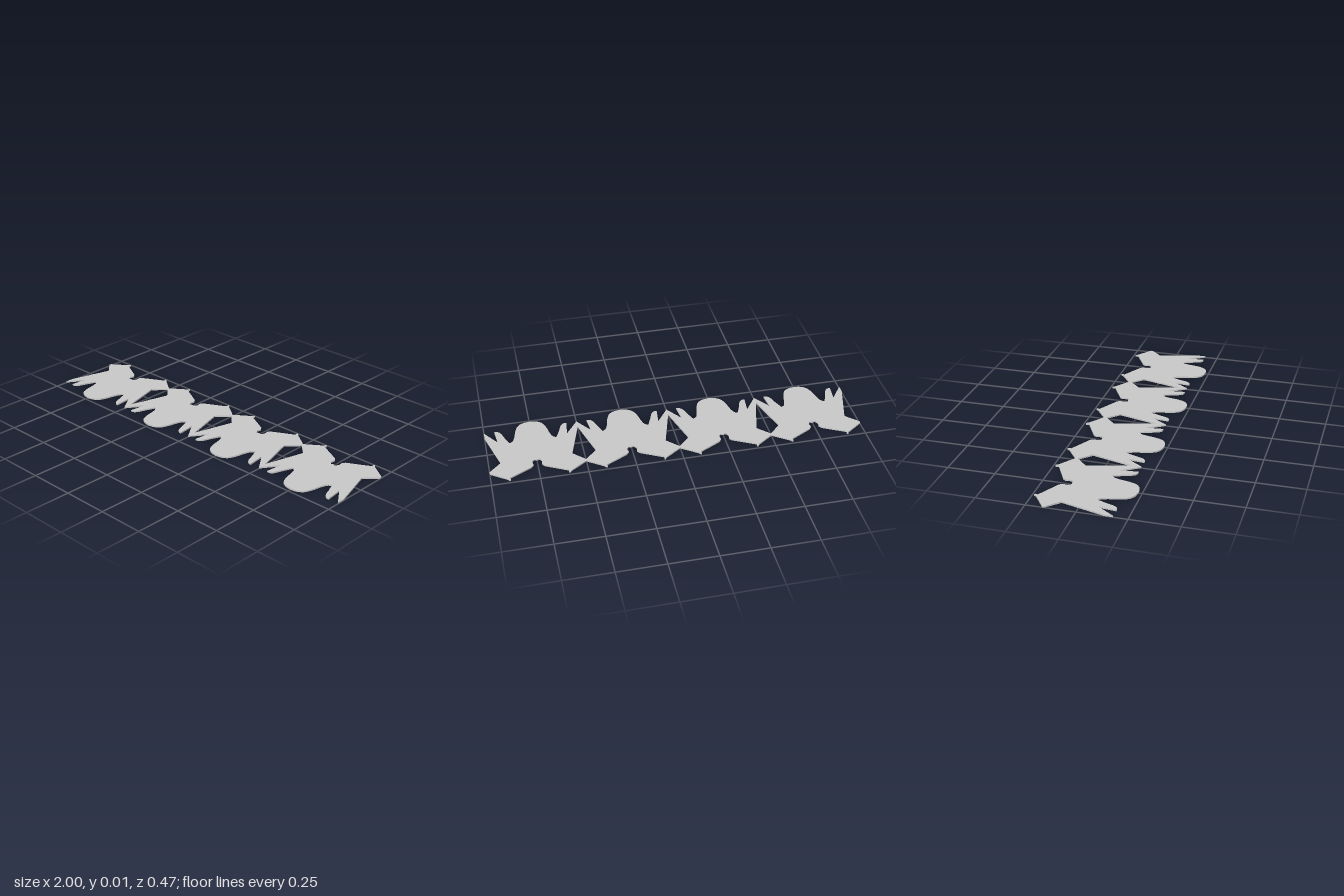
import * as THREE from 'three';

const THICKNESS = 0.008;
const PITCH = 0.5;

// Right half of one paper figure, from neck notch round to the rounded tail: [x, z]
const shoulderAndSide = [
  [0, -0.102], [0.014, -0.097], [0.026, -0.116], [0.022, -0.142], [0.034, -0.157],
  [0.152, -0.22], [0.149, -0.236], [0.157, -0.238], [0.164, -0.226],
  [0.25, -0.165], [0.25, -0.153], [0.187, -0.09],
  [0.25, 0.135], [0.25, 0.18], [0.185, 0.087], [0.195, 0.18],
];

function smoothPoints(points, count) {
  const curve = new THREE.CatmullRomCurve3(points.map(([x, z]) => new THREE.Vector3(x, z, 0)));
  return curve.getPoints(count).map(p => [p.x, p.y]);
}

// Rounded feather tip, then the edge up into the notch
const feather = smoothPoints([[0.195, 0.18], [0.178, 0.178], [0.163, 0.163], [0.145, 0.115], [0.125, 0.066]], 14);
// Notch, then the broad rounded tail
const tail = smoothPoints([[0.125, 0.066], [0.108, 0.077], [0.095, 0.11], [0.083, 0.165],
  [0.064, 0.208], [0.034, 0.228], [0, 0.234]], 24);

function figureGeometry() {
  const half = [...shoulderAndSide, ...feather.slice(1), ...tail.slice(1)];
  const mirrored = half.slice(1, -1).reverse().map(([x, z]) => [-x, z]);
  const shape = new THREE.Shape([...half, ...mirrored].map(([x, z]) => new THREE.Vector2(x, -z)));
  const geometry = new THREE.ExtrudeGeometry(shape, { depth: THICKNESS, bevelEnabled: false });
  geometry.rotateX(-Math.PI / 2); // lay flat, thickness along y
  return geometry;
}

export function createModel() {
  const group = new THREE.Group();
  group.name = 'paperGarland';
  const material = new THREE.MeshStandardMaterial({ color: 0xcccccc });
  const geometry = figureGeometry();
  // Four figures joined at wing tips
  for (let i = 0; i < 4; i++) {
    const figure = new THREE.Mesh(geometry, material);
    figure.name = `garlandFigure${i + 1}`;
    figure.position.x = (i - 1.5) * PITCH;
    group.add(figure);
  }
  return group;
}
